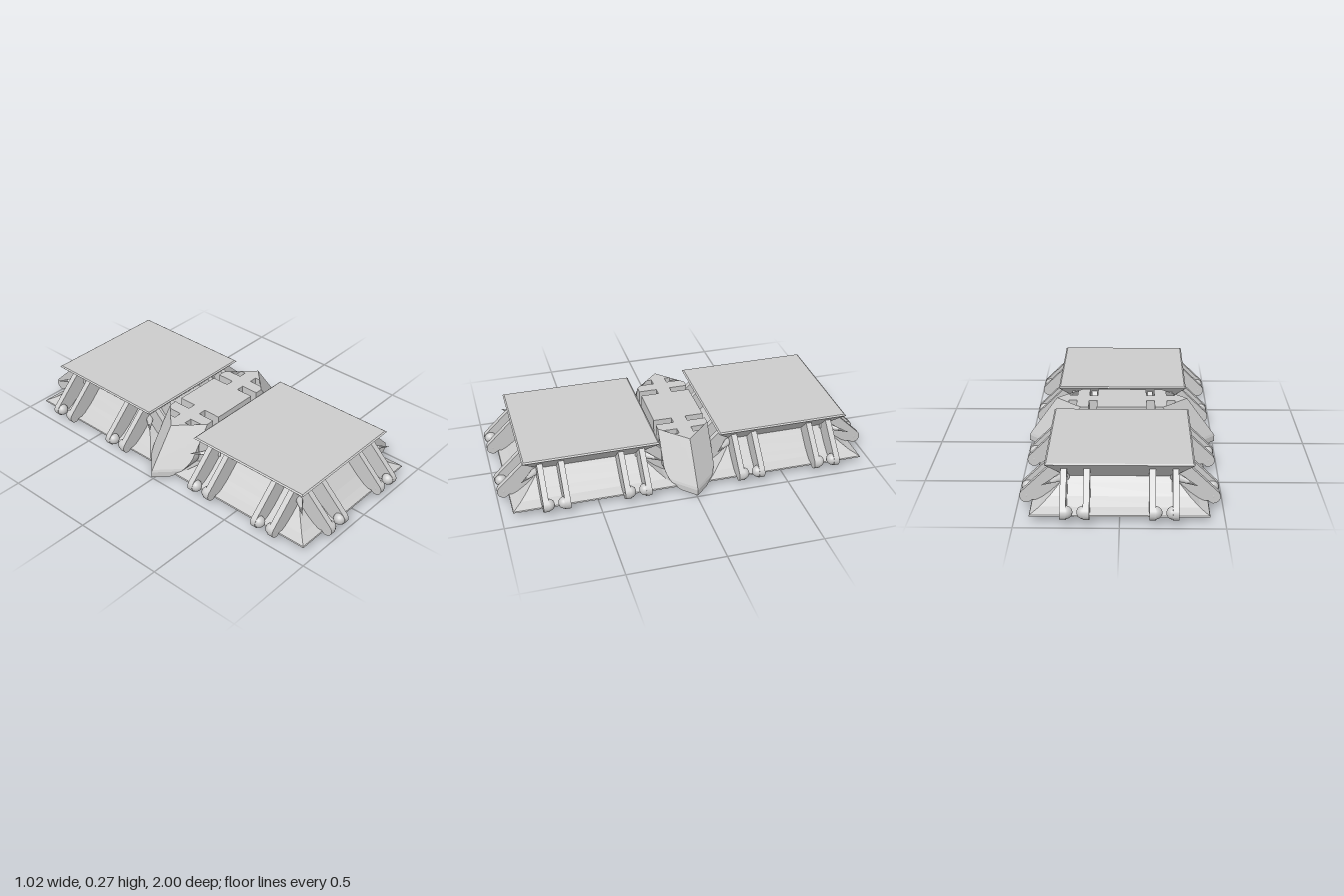
import * as THREE from 'three';

const flat = new THREE.MeshStandardMaterial({ color: 0xcccccc, flatShading: true });
const smooth = new THREE.MeshStandardMaterial({ color: 0xcccccc });

function add(parent, name, geometry, material = flat) {
  const mesh = new THREE.Mesh(geometry, material);
  mesh.name = name;
  parent.add(mesh);
  return mesh;
}

// Square tile: undercut top plate above a flared skirt, as a four-sided lathe
function tileBodyGeometry() {
  const profile = [
    [0, 0.03], [0.428, 0.03], [0.425, 0.036], [0.38, 0.058], [0.335, 0.092],
    [0.285, 0.14], [0.26, 0.165], [0.355, 0.262], [0.347, 0.268], [0, 0.268],
  ].map(([r, y]) => new THREE.Vector2(r * Math.SQRT2, y));
  return new THREE.LatheGeometry(profile, 4, Math.PI / 4);
}

// Clip arm: sloping bar with a rounded toe, drawn in (outward, up)
const ARM_WIDTH = 0.03;
function armGeometry() {
  const s = new THREE.Shape();
  s.moveTo(0.25, 0.165);
  s.lineTo(0.39, 0.045);
  s.lineTo(0.425, 0.045);
  s.lineTo(0.44, 0.033);
  s.absarc(0.45, 0.065, 0.035, -1.87, Math.PI / 4, false);
  s.lineTo(0.325, 0.235);
  s.lineTo(0.3, 0.235);
  const g = new THREE.ExtrudeGeometry(s, { depth: ARM_WIDTH, bevelEnabled: false, curveSegments: 10 });
  g.translate(0, 0, -ARM_WIDTH / 2);
  g.rotateY(-Math.PI / 2); // outward becomes +z
  return g;
}

// Connector: U-shaped hull with pointed, sloping ends
const HEIGHT = 0.266;
const halfWidth = (y) => (y > 0.11 ? 0.135 : 0.135 * Math.sqrt(Math.max(0, 1 - ((0.11 - y) / 0.11) ** 2)));
const ridge = (y) => (y > 0.05 ? 0.51 - 0.72 * (y - 0.05) : y > 0.015 ? 0.51 : 0.46 + (y / 0.015) * 0.05);

function connectorSlice(x0, x1, maxWidth) {
  const box = new THREE.BoxGeometry(1, 1, 1, 1, 18, 12);
  const p = box.attributes.position;
  for (let i = 0; i < p.count; i++) {
    const y = HEIGHT * Math.pow(p.getY(i) + 0.5, 1.6);
    const z = 2 * p.getZ(i) * Math.min(halfWidth(y), maxWidth);
    const limit = ridge(y) - Math.abs(z);
    const x = p.getX(i) < 0 ? x0 : x1;
    p.setXYZ(i, Math.max(-limit, Math.min(limit, x)), y, z);
  }
  const g = box.toNonIndexed();
  g.computeVertexNormals();
  return g;
}

export function createModel() {
  const model = new THREE.Group();
  model.name = 'clipTiles';

  const body = tileBodyGeometry();
  const arm = armGeometry();
  const ball = new THREE.SphereGeometry(0.031, 20, 14);
  const spike = new THREE.ConeGeometry(0.025, 0.16, 8);
  spike.rotateX(Math.PI / 2);

  for (const end of [1, -1]) {
    const tile = new THREE.Group();
    tile.name = end > 0 ? 'frontTile' : 'backTile';
    tile.position.z = 0.515 * end;
    model.add(tile);
    add(tile, 'tileBody', body);

    // Two pairs of clips on each of the four sides
    for (let side = 0; side < 4; side++) {
      const clips = new THREE.Group();
      clips.name = 'sideClips';
      clips.rotation.y = (side * Math.PI) / 2;
      tile.add(clips);
      for (const m of [1, -1]) {
        for (const [armX, ballX] of [[0.265, 0.25], [0.155, 0.17]]) {
          add(clips, 'clipArm', arm).position.x = m * armX;
          add(clips, 'clipBall', ball, smooth).position.set(m * ballX, 0.066, 0.452);
        }
      }
      // Small pointed corner rib
      const rib = new THREE.Group();
      rib.name = 'cornerRib';
      rib.rotation.y = Math.PI / 4;
      clips.add(rib);
      add(rib, 'ribPoint', spike, smooth).position.set(0, 0.165, 0.445);
    }
  }

  // Connector in slices; the narrow ones form the slots for the clip arms
  const connector = new THREE.Group();
  connector.name = 'connector';
  model.add(connector);
  const cuts = [-0.52, -0.287, -0.243, -0.177, -0.133, 0.133, 0.177, 0.243, 0.287, 0.52];
  for (let i = 0; i < cuts.length - 1; i++) {
    const slot = i % 2 === 1;
    add(connector, slot ? 'slotCore' : 'connectorBlock',
      connectorSlice(cuts[i], cuts[i + 1], slot ? 0.038 : 1));
  }
  return model;
}
